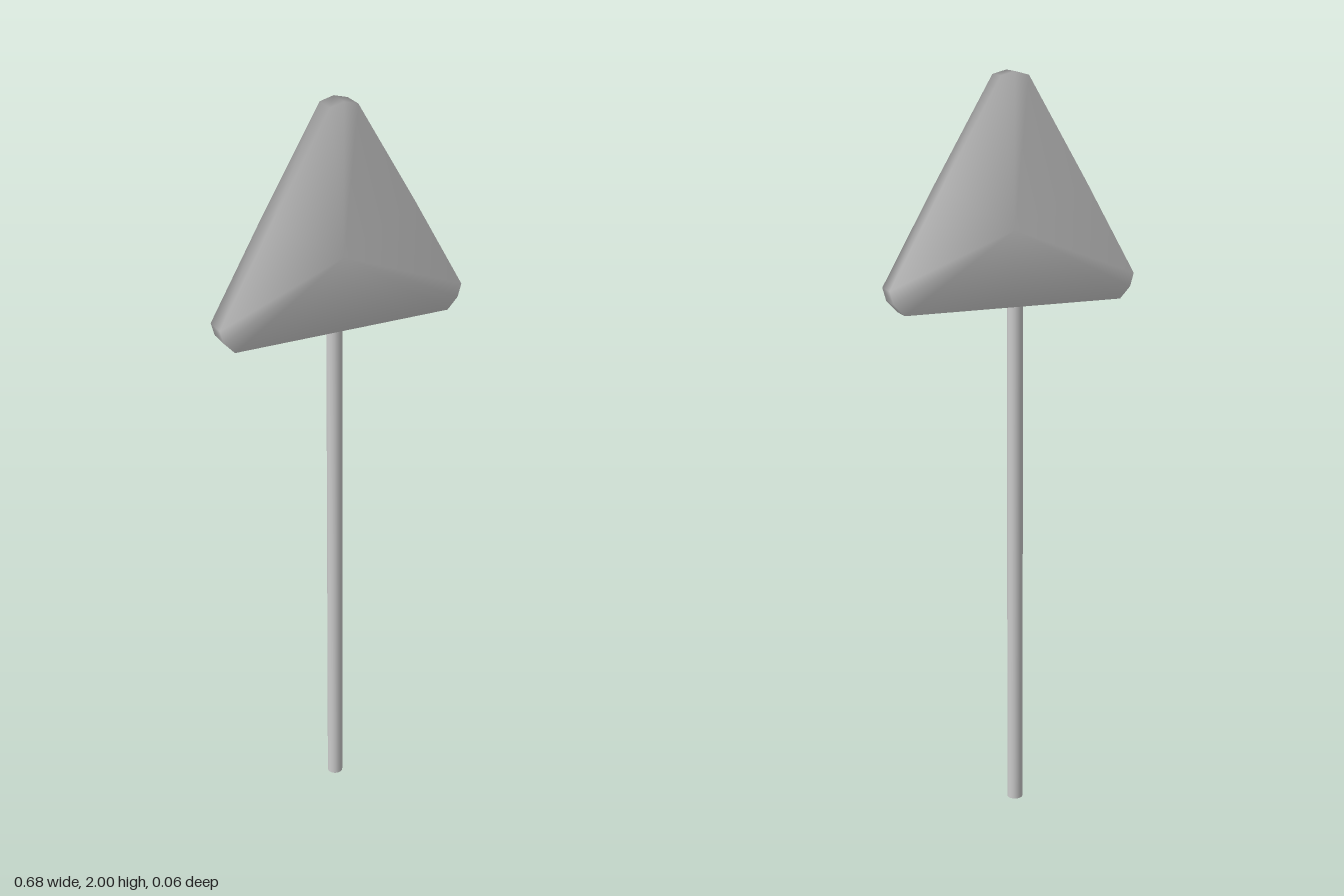
import * as THREE from 'three';
import { mergeVertices } from 'three/addons/utils/BufferGeometryUtils.js';

const material = new THREE.MeshStandardMaterial({ color: 0xcccccc });

// Half outline of the plate, bottom middle to top middle
const halfOutline = [[0, 1.4], [0.302, 1.4], [0.331, 1.431], [0.341, 1.466], [0.2, 1.715], [0.038, 1.99], [0, 2]];

// 12-sided disc whose rim is moved onto the rounded triangle, shaded smoothly all over
function plateGeometry(thickness) {
  let geo = new THREE.CylinderGeometry(1, 1, thickness, 12);
  geo.rotateX(Math.PI / 2);
  const pos = geo.attributes.position;
  for (let i = 0; i < pos.count; i++) {
    const x = pos.getX(i), y = pos.getY(i);
    if (Math.hypot(x, y) < 0.5) {
      pos.setXY(i, 0, 1.6);
      continue;
    }
    const step = Math.round(Math.atan2(Math.abs(x), -y) / (Math.PI / 6));
    const [px, py] = halfOutline[step];
    pos.setXY(i, Math.sign(x) * px, py);
  }
  geo.deleteAttribute('normal');
  geo.deleteAttribute('uv');
  geo = mergeVertices(geo, 1e-4);
  geo.computeVertexNormals();
  return geo;
}

export function createModel() {
  const group = new THREE.Group();
  group.name = 'roadSign';

  // Triangular sign plate
  const plate = new THREE.Mesh(plateGeometry(0.057), material);
  plate.name = 'signPlate';
  group.add(plate);

  // Post, slightly off centre, ending just inside the plate
  const height = 1.41;
  const post = new THREE.Mesh(new THREE.CylinderGeometry(0.021, 0.021, height, 16), material);
  post.name = 'post';
  post.position.set(-0.014, height / 2, 0.003);
  group.add(post);

  return group;
}
